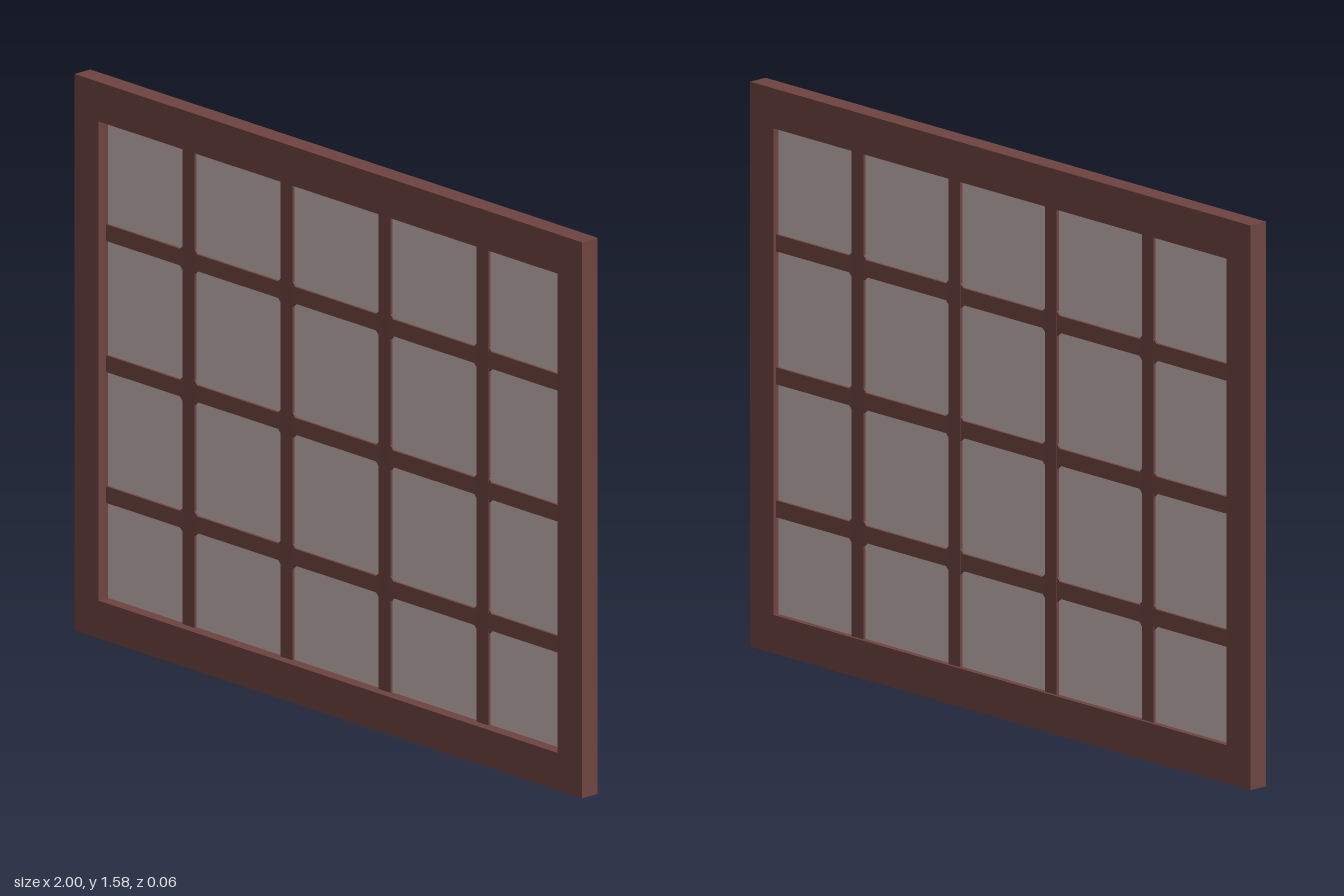
import * as THREE from 'three';

export function createModel() {
  const model = new THREE.Group();
  const wood = new THREE.MeshStandardMaterial({ color: 0x6e4440 });
  wood.name = 'red brown wood';
  const barWood = new THREE.MeshStandardMaterial({ color: 0x70463e });
  barWood.name = 'warm brown wood';
  const glass = new THREE.MeshStandardMaterial({ color: 0xc8b5b5 });
  glass.name = 'pale rose glass';

  const H = 1.58, D = 0.058;
  const left = -0.905, right = 0.905, bottom = 0.107, top = 1.468;
  const midY = (bottom + top) / 2, innerW = right - left, innerH = top - bottom;

  const add = (name, geometry, material, x, y, z) => {
    const mesh = new THREE.Mesh(geometry, material);
    mesh.name = name;
    mesh.position.set(x, y, z);
    model.add(mesh);
    return mesh;
  };

  // Outer frame with one rectangular opening
  const outline = new THREE.Shape([[-1, 0], [1, 0], [1, H], [-1, H]].map(p => new THREE.Vector2(...p)));
  outline.holes.push(new THREE.Path(
    [[left, bottom], [left, top], [right, top], [right, bottom]].map(p => new THREE.Vector2(...p))));
  add('frame', new THREE.ExtrudeGeometry(outline, { depth: D, bevelEnabled: false }), wood, 0, 0, -D / 2);

  // Glass sheet, set towards the back
  const barZ = -0.009;
  add('glass', new THREE.BoxGeometry(innerW, innerH, 0.006), glass, 0, midY, barZ);

  // Glazing bars
  const barXs = [-0.58, -0.193, 0.193, 0.58];
  const barYs = [0.402, 0.774, 1.146];
  const barW = 0.047;
  for (const x of barXs) {
    add('verticalBar', new THREE.BoxGeometry(barW, innerH, 0.022), wood, x, midY, barZ);
  }
  for (const y of barYs) {
    add('horizontalBar', new THREE.BoxGeometry(innerW, barW, 0.021), barWood, 0, y, barZ);
  }

  // Small diamond blocks that soften the pane corners at each crossing
  for (const x of barXs) {
    for (const y of barYs) {
      add('crossingBlock', new THREE.BoxGeometry(0.082, 0.082, 0.02), wood, x, y, barZ).rotation.z = Math.PI / 4;
    }
  }
  return model;
}
